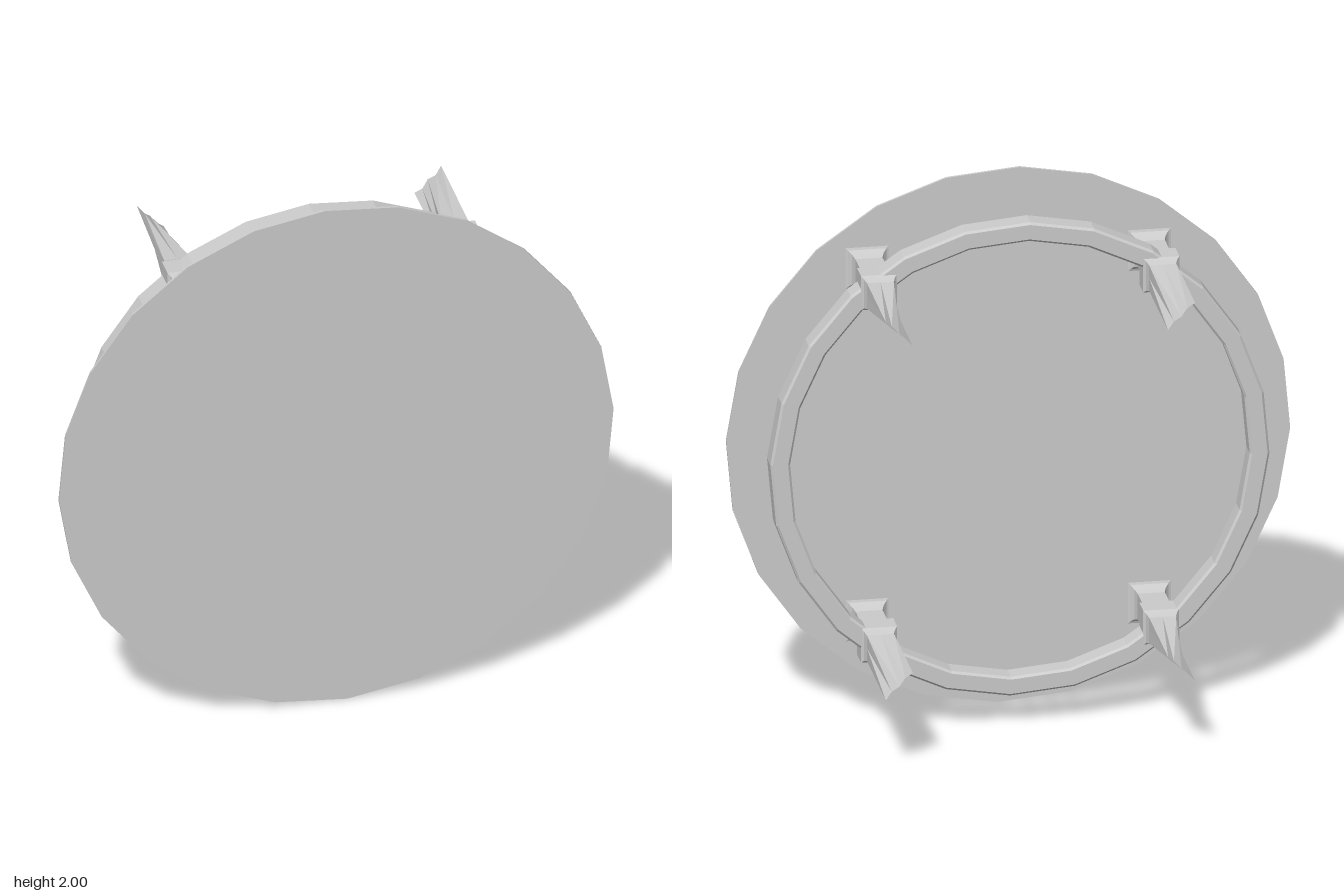
import * as THREE from 'three';

const material = new THREE.MeshStandardMaterial({ color: 0xcccccc, flatShading: true, side: THREE.DoubleSide });
const CENTER_Y = 1.003;
const SIDES = 24;

function addMesh(parent, name, geometry) {
  const mesh = new THREE.Mesh(geometry, material);
  mesh.name = name;
  parent.add(mesh);
  return mesh;
}

// Square prong lofted along z, ending in a notched edge along the radial diagonal (sx, sy)
function prongGeometry(sx, sy) {
  const square = [[1, 1], [0, 1], [-1, 1], [-1, 0], [-1, -1], [0, -1], [1, -1], [1, 0]];
  // [z, half width]: flare at the plate, small swelling at the ring, plain shaft
  const profile = [
    [0.328, 0.09], [0.32, 0.068], [0.308, 0.056], [0.285, 0.048],
    [0.19, 0.048], [0.168, 0.055], [0.16, 0.064],
    [0.08, 0.064], [0.072, 0.055], [0.05, 0.048],
  ];
  const rows = profile.map(([z, h]) => square.map(([x, y]) => [x * h, y * h, z]));

  // Flatten the tip onto the diagonal, with two dips between three points
  rows.push(square.map(([x, y]) => {
    const t = (x * sx + y * sy) / 2;
    const z = Math.abs(t) === 0.5 ? -0.315 : -0.333;
    return [sx * t * 0.048, sy * t * 0.048, z];
  }));

  const n = square.length;
  const index = [];
  for (let i = 0; i < rows.length - 1; i++) {
    for (let j = 0; j < n; j++) {
      const k = (j + 1) % n;
      const a = (i + 1) * n + j, b = (i + 1) * n + k, c = i * n + k, d = i * n + j;
      index.push(a, b, c, a, c, d);
    }
  }
  const geometry = new THREE.BufferGeometry();
  geometry.setAttribute('position', new THREE.Float32BufferAttribute(rows.flat(2), 3));
  geometry.setIndex(index);
  geometry.computeVertexNormals();
  return geometry;
}

export function createModel() {
  const model = new THREE.Group();
  model.name = 'prongedDisc';

  // Thin front plate
  const plate = new THREE.CylinderGeometry(1, 1, 0.01, SIDES);
  plate.rotateX(Math.PI / 2).rotateZ(0.04);
  addMesh(model, 'plate', plate).position.set(0, CENTER_Y, 0.328);

  // Hoop behind the plate, with lightly bevelled rectangular section
  const outer = 0.885, inner = 0.815, h = 0.042, b = 0.008;
  const section = [
    [inner, -h + b], [inner + b, -h], [outer - b, -h], [outer, -h + b],
    [outer, h - b], [outer - b, h], [inner + b, h], [inner, h - b], [inner, -h + b],
  ].map(([r, y]) => new THREE.Vector2(r, y));
  const hoop = new THREE.LatheGeometry(section, SIDES);
  hoop.rotateX(Math.PI / 2).rotateZ(0.04);
  addMesh(model, 'ring', hoop).position.set(0, CENTER_Y, 0.12);

  // Four prongs through the ring
  for (const sx of [1, -1]) {
    for (const sy of [1, -1]) {
      const name = (sy > 0 ? 'upper' : 'lower') + (sx > 0 ? 'Left' : 'Right') + 'Prong';
      addMesh(model, name, prongGeometry(sx, sy)).position.set(sx * 0.5, CENTER_Y + sy * 0.66, 0);
    }
  }
  return model;
}
